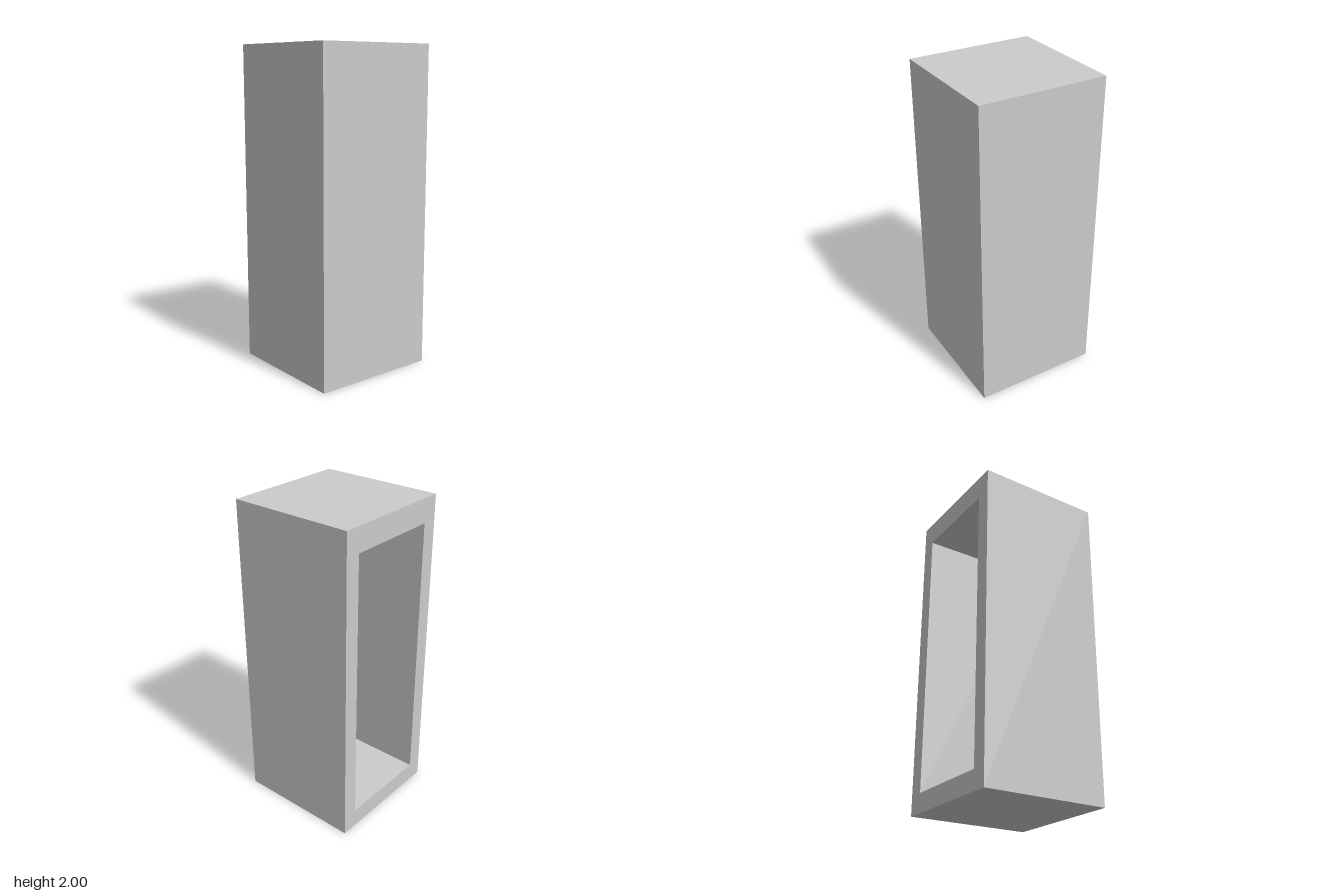
import * as THREE from 'three';

const material = new THREE.MeshStandardMaterial({ color: 0xcccccc, flatShading: true });

function add(parent, name, geometry, x = 0, y = 0, z = 0) {
  const mesh = new THREE.Mesh(geometry, material);
  mesh.name = name;
  mesh.position.set(x, y, z);
  parent.add(mesh);
  return mesh;
}

// Rectangle outline, used for the shell and its opening
function rectangle(Type, x0, x1, y0, y1) {
  const path = new Type();
  path.moveTo(x0, y0);
  path.lineTo(x1, y0);
  path.lineTo(x1, y1);
  path.lineTo(x0, y1);
  path.closePath();
  return path;
}

export function createModel() {
  const model = new THREE.Group();
  model.name = 'cabinet';
  const half = 0.4, panel = 0.005;

  // Hollow casing, open at the back
  const outline = rectangle(THREE.Shape, -half, half, 0, 2);
  outline.holes.push(rectangle(THREE.Path, -0.3, 0.3, 0.12, 1.85));
  add(model, 'casing',
    new THREE.ExtrudeGeometry(outline, { depth: 2 * half - panel, bevelEnabled: false }), 0, 0, -half);

  // Thin panel closing the front
  add(model, 'frontPanel', new THREE.BoxGeometry(2 * half, 2, panel), 0, 1, half - panel / 2);

  // Two chamfered fittings inside, one above the other
  const bevel = 0.012;
  const block = rectangle(THREE.Shape, -0.06, 0.06, -0.057, 0.057);
  const blockGeometry = new THREE.ExtrudeGeometry(block, {
    depth: 0.05, bevelEnabled: true, bevelSegments: 1, bevelThickness: bevel, bevelSize: bevel,
  });
  for (const y of [1.195, 0.885]) {
    const fitting = new THREE.Group();
    fitting.name = y > 1 ? 'upperFitting' : 'lowerFitting';
    fitting.position.set(0, y, 0.02);
    add(fitting, 'fittingBlock', blockGeometry, 0, 0, bevel);
    add(fitting, 'fittingStem', new THREE.BoxGeometry(0.09, 0.22, 0.05), 0, 0.01, 0.095);
    model.add(fitting);
  }
  return model;
}
